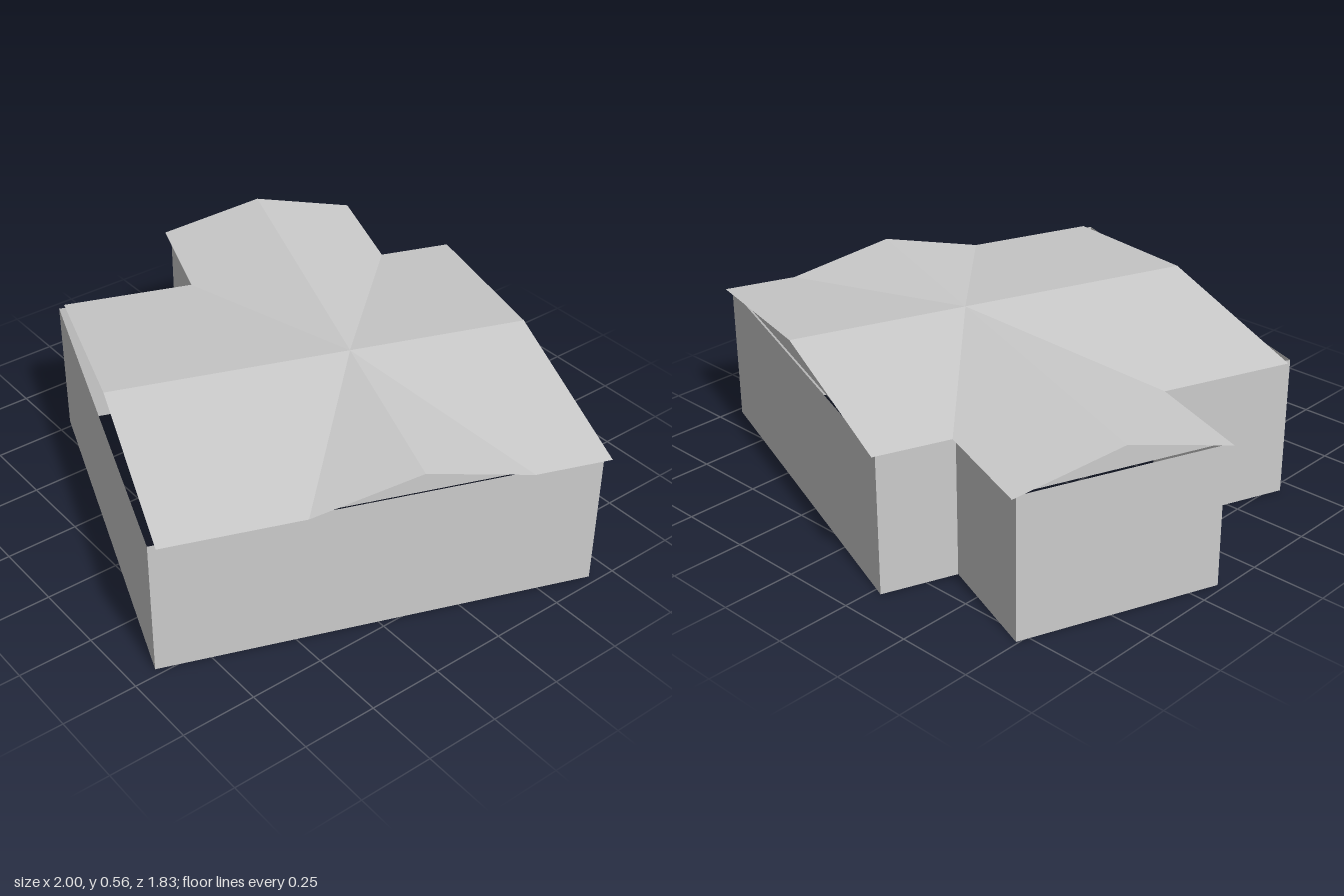
import * as THREE from 'three';

const EAVE = 0.478, RIDGE = 0.563;      // heights
const W = 0.689, w = 0.357;             // half widths of the main and the wing roof
const BACK = -0.61, FRONT = 0.812;      // ends of the main ridge
const WING = -1.082;                    // outer end of the wing ridge
const INSET = 0.025;                    // how far gables sit inside the roof edge

const material = new THREE.MeshStandardMaterial({
  color: 0xcccccc, flatShading: true, side: THREE.DoubleSide,
});

// Mesh from convex polygons, each a list of [x, y, z] corners
function polygonMesh(name, polygons) {
  const pos = [];
  for (const p of polygons)
    for (let i = 1; i < p.length - 1; i++) pos.push(...p[0], ...p[i], ...p[i + 1]);
  const geometry = new THREE.BufferGeometry();
  geometry.setAttribute('position', new THREE.Float32BufferAttribute(pos, 3));
  geometry.computeVertexNormals();
  const mesh = new THREE.Mesh(geometry, material);
  mesh.name = name;
  return mesh;
}

// Outer walls around the T-shaped plan, open above and below
function createWalls() {
  const a = W - 0.02, b = w - 0.019, end = -1.068;
  const plan = [
    [-a, 0.833], [a, 0.833], [a, -0.592], [-a, -0.592],
    [-a, -b], [end, -b], [end, b], [-a, b],
  ];
  return polygonMesh('walls', plan.map(([x, z], i) => {
    const [x2, z2] = plan[(i + 1) % plan.length];
    return [[x, 0, z], [x2, 0, z2], [x2, EAVE, z2], [x, EAVE, z]];
  }));
}

// Crossing gable roofs that meet in four valleys
function createRoof() {
  const roof = new THREE.Group();
  roof.name = 'roof';
  const peak = [0, RIDGE, 0], main = [], wing = [];
  for (const sx of [-1, 1]) for (const sz of [-1, 1]) {
    const z = sz < 0 ? BACK : FRONT, x = sx < 0 ? WING : W;
    const valley = [sx * W, EAVE, sz * w];
    const slope = [peak, [0, RIDGE, z], [sx * W, EAVE, z], valley];
    const side = [peak, valley, [x, RIDGE, 0]];
    if (sx < 0) side.splice(2, 0, [x, EAVE, sz * w]);
    if (sx * sz < 0) { slope.reverse(); side.reverse(); }
    main.push(slope);
    wing.push(side);
  }
  roof.add(polygonMesh('mainRoof', main), polygonMesh('wingRoof', wing));
  return roof;
}

// Triangular gable walls just inside the roof edges
function createGables() {
  const gables = new THREE.Group();
  gables.name = 'gables';
  const ends = [
    ['frontGable', W, FRONT, 0], ['backGable', W, -BACK, Math.PI],
    ['leftGable', w, W, Math.PI / 2], ['wingGable', w, -WING, -Math.PI / 2],
  ];
  for (const [name, half, distance, turn] of ends) {
    const z = distance - INSET;
    const gable = polygonMesh(name, [[[-half, EAVE, z], [half, EAVE, z], [0, RIDGE, z]]]);
    gable.rotation.y = turn;
    gables.add(gable);
  }
  return gables;
}

export function createModel() {
  const house = new THREE.Group();
  house.name = 'house';
  house.add(createWalls(), createRoof(), createGables());
  // The plan is turned on the site and centred
  house.rotation.y = -THREE.MathUtils.degToRad(20.45);
  house.position.set(0.14, 0, -0.1);
  const model = new THREE.Group();
  model.add(house);
  return model;
}
